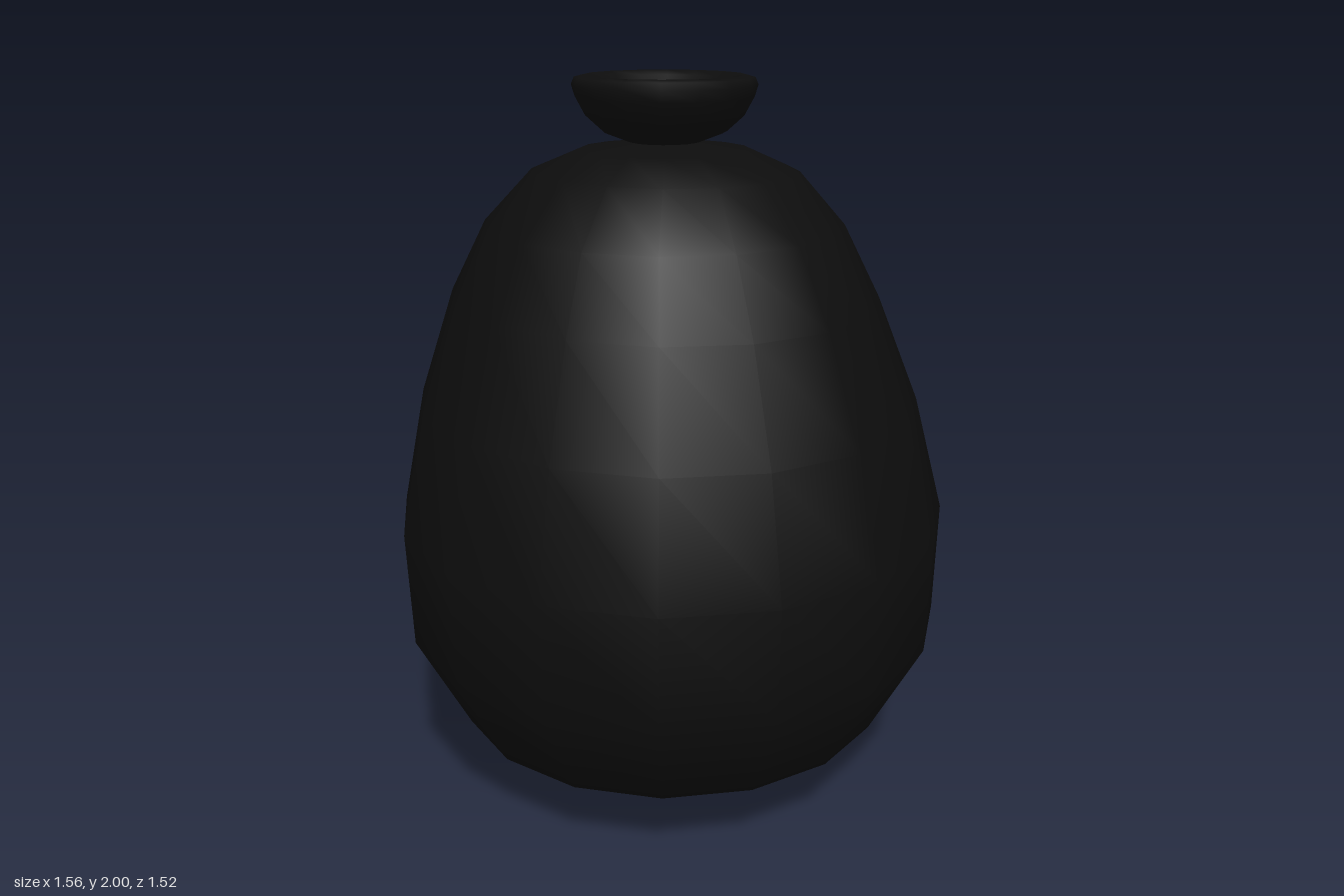
import * as THREE from 'three';

const SIDES = 16;

// Turned shape whose rings follow a slightly wandering spine: rows of [radiusX, radiusZ, y, centreX, centreZ]
function turned(rows, sides, name, material, tilt = 0) {
  const profile = rows.map(([r, , y]) => new THREE.Vector2(r, y));
  const geometry = new THREE.LatheGeometry(profile, sides, 0.02);
  const pos = geometry.attributes.position;
  for (let i = 0; i < pos.count; i++) {
    const [rx, rz, y, cx, cz] = rows[i % rows.length];
    const x = pos.getX(i);
    const z = pos.getZ(i) * (rx > 0 ? rz / rx : 1);
    pos.setXYZ(i, x + cx, y - tilt * z * Math.min(1, rx), z + cz);
  }
  const mesh = new THREE.Mesh(geometry, material);
  mesh.name = name;
  return mesh;
}

export function createModel() {
  const group = new THREE.Group();
  group.name = 'tiedSack';
  const black = new THREE.MeshStandardMaterial({ color: 0x0d0d0d, side: THREE.DoubleSide });
  black.name = 'black';

  // Full, pear-shaped bag pinched at the neck
  const body = [
    [0, 0, 0, -0.03, 0.01],
    [0.335, 0.33, 0.06, -0.025, 0.01],
    [0.62, 0.6, 0.217, -0.01, 0.015],
    [0.772, 0.745, 0.485, 0, 0.007],
    [0.78, 0.762, 0.8, 0, 0],
    [0.69, 0.695, 1.13, -0.02, 0.005],
    [0.575, 0.595, 1.42, -0.035, 0.005],
    [0.48, 0.49, 1.615, -0.04, 0.01],
    [0.35, 0.365, 1.755, -0.04, 0.015],
    [0.225, 0.23, 1.81, -0.035, 0.01],
    [0.07, 0.07, 1.83, -0.03, 0.005],
  ];
  group.add(turned(body, SIDES, 'bagBody', black, 0.02));

  // Flared opening above the neck, with a rounded lip and a shallow hollow
  const mouth = [
    [0.07, 1.822], [0.1, 1.83], [0.165, 1.855], [0.21, 1.895], [0.237, 1.945],
    [0.246, 1.975], [0.238, 1.994], [0.215, 2.0], [0.19, 1.988],
    [0.155, 1.95], [0.1, 1.915], [0.045, 1.9], [0, 1.898],
  ].map(([r, y]) => [r, r, y, -0.033, 0.005]);
  group.add(turned(mouth, SIDES, 'bagMouth', black));

  return group;
}
